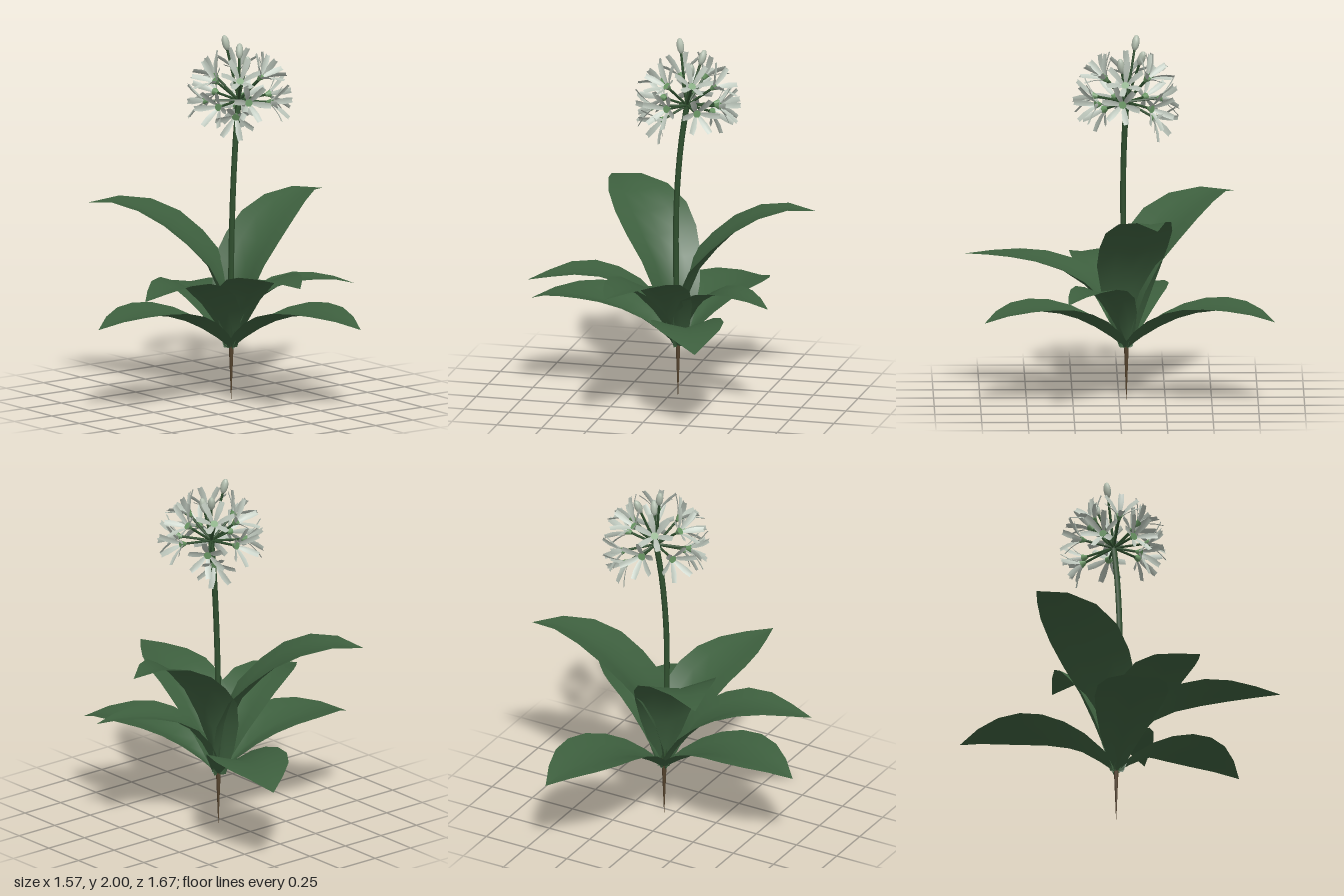
import * as THREE from 'three';

const mat = (color, side = THREE.FrontSide) => new THREE.MeshStandardMaterial({ color, side });
const leafMat = mat(0x3d5f3e, THREE.DoubleSide);
const petalMat = mat(0xbcc6bb, THREE.DoubleSide);
const stemMat = mat(0x30502f);
const hubMat = mat(0x6a9864);
const budMat = mat(0xb4c0b0);
const rootMat = mat(0x57452f);

const V = (x, y, z) => new THREE.Vector3(x, y, z);
const UP = V(0, 1, 0);
const BASE = V(0.05, 0.28, -0.04);
const HEAD = V(0.1, 1.64, -0.04);

function add(parent, name, geometry, material) {
  const mesh = new THREE.Mesh(geometry, material);
  mesh.name = name;
  parent.add(mesh);
  return mesh;
}

// Leaf widths from base to tip
const BLUNT = [0.06, 0.16, 0.26, 0.34, 0.4, 0.41, 0.34, 0.19, 0];
const POINTED = [0.06, 0.16, 0.25, 0.32, 0.34, 0.33, 0.26, 0.14, 0];

// Arching spines as [fraction of reach, height]
const LOW = [[0, 0.28], [0.18, 0.39], [0.42, 0.485], [0.68, 0.52], [0.88, 0.505], [1, 0.47]];
const MID = [[0, 0.28], [0.12, 0.44], [0.25, 0.56], [0.43, 0.66], [0.63, 0.71], [0.85, 0.695], [1, 0.67]];
const FRONT = [[0, 0.28], [0.16, 0.53], [0.33, 0.665], [0.57, 0.745], [0.8, 0.77], [1, 0.77]];
const SIDE = [[0, 0.28], [0.1, 0.43], [0.22, 0.545], [0.42, 0.625], [0.63, 0.65], [0.85, 0.645], [1, 0.62]];
const TALL = [[0, 0.28], [0.05, 0.5], [0.15, 0.71], [0.33, 0.87], [0.48, 0.97], [0.66, 1.04], [0.83, 1.065], [1, 1.05]];

// tip x, tip z, spine, widths, width scale
const LEAVES = [
  [0.33, -0.84, LOW, BLUNT, 1],
  [-0.79, -0.11, LOW, BLUNT, 0.95],
  [0.35, 0.73, LOW, BLUNT, 0.95],
  [-0.72, 0.22, MID, POINTED, 1],
  [-0.13, 0.83, FRONT, POINTED, 1.05],
  [0.64, 0.28, SIDE, POINTED, 0.76],
  [-0.48, -0.63, TALL, BLUNT, 1.05],
  [0.78, -0.2, TALL, POINTED, 1.12],
];

// Blade swept along its spine, folded into a channel that opens towards the tip
function leafGeometry(tipX, tipZ, spine, widths, scale) {
  const D = V(tipX - BASE.x, 0, tipZ - BASE.z);
  const reach = D.length();
  D.normalize();
  const S = V(-D.z, 0, D.x);
  const curve = new THREE.CatmullRomCurve3(spine.map(([f, y]) => V(f * reach, y, 0)));
  const rows = widths.length - 1, cols = 4;
  const positions = [], index = [];
  for (let i = 0; i <= rows; i++) {
    const t = i / rows;
    const p = curve.getPointAt(t), tan = curve.getTangentAt(t);
    const half = (widths[i] * scale) / 2;
    const fold = 0.12 + 0.53 * (1 - t) ** 2;
    for (let j = 0; j <= cols; j++) {
      const v = (j / cols) * 2 - 1;
      const lift = fold * Math.abs(v) * half;
      const q = V(BASE.x, 0, BASE.z)
        .addScaledVector(D, p.x - tan.y * lift)
        .addScaledVector(UP, p.y + tan.x * lift)
        .addScaledVector(S, v * half);
      positions.push(q.x, q.y, q.z);
      if (i < rows && j < cols) {
        const a = i * (cols + 1) + j, b = a + cols + 1;
        index.push(a, a + 1, b);
        if (i < rows - 1) index.push(a + 1, b + 1, b);
      }
    }
  }
  const g = new THREE.BufferGeometry();
  g.setAttribute('position', new THREE.Float32BufferAttribute(positions, 3));
  g.setIndex(index);
  g.computeVertexNormals();
  return g;
}

// Narrow strap petal leaning outwards from the +y axis, curling back at its end
function petalGeometry() {
  const g = new THREE.PlaneGeometry(1, 1, 2, 3);
  const pos = g.attributes.position;
  for (let i = 0; i < pos.count; i++) {
    const u = pos.getX(i), t = pos.getY(i) + 0.5;
    const width = [0.014, 0.026, 0.034, 0.028][Math.round(t * 3)];
    const out = 0.01 + 0.065 * t + 0.03 * t * t;
    pos.setXYZ(i, u * width, 0.1 * t - 0.012 * t * t + Math.abs(u) * 0.01, out);
  }
  g.computeVertexNormals();
  return g;
}
const petal = petalGeometry();
const hub = new THREE.CylinderGeometry(0.022, 0.009, 0.03, 7);
const bud = new THREE.SphereGeometry(0.021, 8, 6).scale(1, 2.1, 1);

// Thin stalk from the top of the stem to a flower or bud; returns a group pointing outwards
function stalked(head, name, dir, length) {
  const g = new THREE.Group();
  g.name = name;
  g.position.copy(HEAD);
  g.quaternion.setFromUnitVectors(UP, dir.clone().normalize());
  add(g, 'flowerStalk', new THREE.CylinderGeometry(0.007, 0.007, length, 5).translate(0, length / 2, 0), stemMat);
  head.add(g);
  return g;
}

function floret(head, dir, length, twist) {
  const g = stalked(head, 'floret', dir, length);
  add(g, 'floretHub', hub, hubMat).position.y = length;
  for (let k = 0; k < 6; k++) {
    const p = add(g, 'petal', petal, petalMat);
    p.position.y = length;
    p.rotation.y = twist + (k * Math.PI) / 3;
  }
}

export function createModel() {
  const model = new THREE.Group();
  model.name = 'floweringPlant';

  // Root spike
  const root = add(model, 'root', new THREE.CylinderGeometry(0.015, 0.001, 0.34, 6), rootMat);
  root.position.set(BASE.x, 0.17, BASE.z);

  // Gently leaning stem
  const path = new THREE.CatmullRomCurve3([
    V(0.05, 0.32, -0.04), V(0.042, 0.7, -0.03), V(0.047, 1.1, -0.022), V(0.07, 1.42, -0.028), HEAD,
  ]);
  add(model, 'stem', new THREE.TubeGeometry(path, 14, 0.016, 7), stemMat);

  // Rosette of leaves
  for (const spec of LEAVES) add(model, 'leaf', leafGeometry(...spec), leafMat);

  // Round flower head
  const head = new THREE.Group();
  head.name = 'flowerHead';
  model.add(head);

  // Two rings of open florets
  const ring = (count, elevation, length, start) => {
    for (let k = 0; k < count; k++) {
      const a = start + (k / count) * Math.PI * 2;
      const e = elevation + 0.1 * Math.sin(k * 2.4);
      floret(head, V(Math.sin(a) * Math.cos(e), Math.sin(e), Math.cos(a) * Math.cos(e)), length, k * 0.7);
    }
  };
  ring(6, 0.74, 0.185, -0.58);
  ring(7, 0.02, 0.18, 0.55);

  // Florets that hang lower
  floret(head, V(0.1, -0.07, -0.15), 0.185, 0.2);
  floret(head, V(-0.09, -0.05, 0.1), 0.16, 0.6);

  // Closed buds at the crown
  for (const [x, y, z] of [[0.05, 1.955, -0.09], [0.165, 1.89, -0.12], [0.13, 1.84, -0.01]]) {
    const dir = V(x, y, z).sub(HEAD);
    const length = dir.length();
    add(stalked(head, 'budStem', dir, length), 'bud', bud, budMat).position.y = length;
  }
  return model;
}
